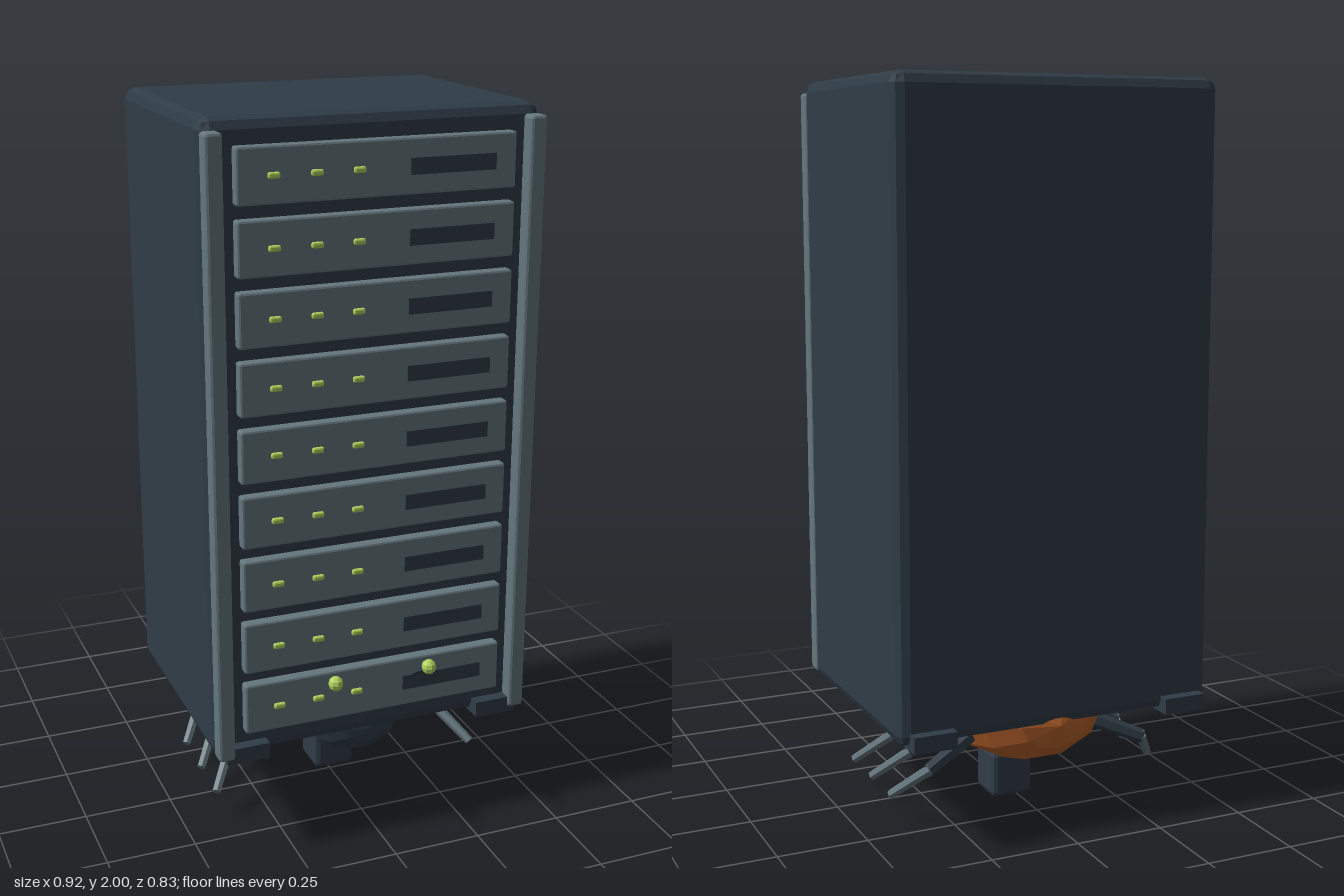
import * as THREE from 'three';
import { RoundedBoxGeometry } from 'three/addons/geometries/RoundedBoxGeometry.js';

const paint = (name, color) => {
  const m = new THREE.MeshStandardMaterial({ color });
  m.name = name;
  return m;
};

// Splits shared corners so every facet gets its own normal
function faceted(geometry) {
  const g = geometry.index ? geometry.toNonIndexed() : geometry;
  g.computeVertexNormals();
  return g;
}

export function createModel() {
  const slate = paint('dark slate', 0x2f3c46);
  const steel = paint('grey steel', 0x64767d);
  const copper = paint('copper shell', 0xb8622b);
  const green = paint('light green', 0xaed05c);

  const model = new THREE.Group();
  model.name = 'rackBeetle';

  function add(name, geometry, material, x = 0, y = 0, z = 0, parent = model) {
    const mesh = new THREE.Mesh(geometry, material);
    mesh.name = name;
    mesh.position.set(x, y, z);
    parent.add(mesh);
    return mesh;
  }
  const bevelBox = (w, h, d, r) => faceted(new RoundedBoxGeometry(w, h, d, 1, r));

  // Straight rod between two points
  function rod(name, from, to, r1, r2, material, parent) {
    const a = new THREE.Vector3(...from), b = new THREE.Vector3(...to);
    const dir = b.clone().sub(a);
    const g = faceted(new THREE.CylinderGeometry(r2, r1, dir.length(), 6));
    const mesh = add(name, g, material, 0, 0, 0, parent);
    mesh.position.copy(a).add(b).multiplyScalar(0.5);
    mesh.quaternion.setFromUnitVectors(new THREE.Vector3(0, 1, 0), dir.normalize());
  }

  // Low-poly ellipsoid with its poles along z
  function ellipsoid(name, material, x, y, z, rx, ry, rz) {
    const g = new THREE.SphereGeometry(1, 10, 7);
    g.rotateX(Math.PI / 2);
    g.scale(rx, ry, rz);
    add(name, faceted(g), material, x, y, z);
  }

  // Cabinet
  add('cabinet', bevelBox(0.915, 1.71, 0.702, 0.03), slate, 0, 1.145, -0.037);

  // Front rails and corner clips
  for (const s of [-1, 1]) {
    add('frontRail', bevelBox(0.046, 1.67, 0.05, 0.008), steel, s * 0.432, 1.135, 0.33);
    add('frontClip', new THREE.BoxGeometry(0.12, 0.045, 0.07), slate, s * 0.37, 0.307, 0.312);
    add('backClip', new THREE.BoxGeometry(0.12, 0.045, 0.07), slate, s * 0.37, 0.307, -0.384);
  }

  // Nine server units, each with three lamps and a slot
  const unitGeometry = bevelBox(0.75, 0.143, 0.05, 0.006);
  const lampGeometry = bevelBox(0.032, 0.016, 0.016, 0.005);
  const slotGeometry = new THREE.BoxGeometry(0.236, 0.042, 0.008);
  for (let i = 0; i < 9; i++) {
    const unit = new THREE.Group();
    unit.name = 'serverUnit';
    unit.position.set(0, 0.437 + i * 0.178, 0.319);
    model.add(unit);
    add('unitPanel', unitGeometry, steel, 0, 0, 0, unit);
    add('unitSlot', slotGeometry, slate, 0.198, 0, 0.026, unit);
    for (const x of [-0.28, -0.168, -0.056]) add('lamp', lampGeometry, green, x, 0, 0.026, unit);
  }

  // Beetle body and head beneath the cabinet
  ellipsoid('shell', copper, 0, 0.29, -0.105, 0.235, 0.163, 0.288);
  ellipsoid('head', slate, 0, 0.285, 0.165, 0.145, 0.112, 0.13);

  // Central foot with its steel collar
  add('foot', bevelBox(0.122, 0.135, 0.122, 0.015), slate, 0.018, 0.0675, -0.066);
  add('footCollar', new THREE.BoxGeometry(0.068, 0.03, 0.008), steel, 0.02, 0.122, -0.003);

  for (const s of [-1, 1]) {
    // Three jointed legs on each side
    for (const z of [0.04, -0.105, -0.255]) {
      const leg = new THREE.Group();
      leg.name = 'leg';
      model.add(leg);
      rod('upperLeg', [s * 0.12, 0.255, z + 0.075], [s * 0.33, 0.168, z], 0.024, 0.02, slate, leg);
      rod('lowerLeg', [s * 0.32, 0.176, z - 0.006], [s * 0.4, 0.08, z + 0.095], 0.016, 0.013, steel, leg);
    }
    // Feelers rising through the lowest unit
    rod('feeler', [s * 0.065, 0.34, 0.17], [s * 0.137, 0.498, 0.393], 0.014, 0.012, slate);
    add('feelerTip', faceted(new THREE.SphereGeometry(0.021, 8, 6)), green, s * 0.137, 0.498, 0.394);
  }

  return model;
}
